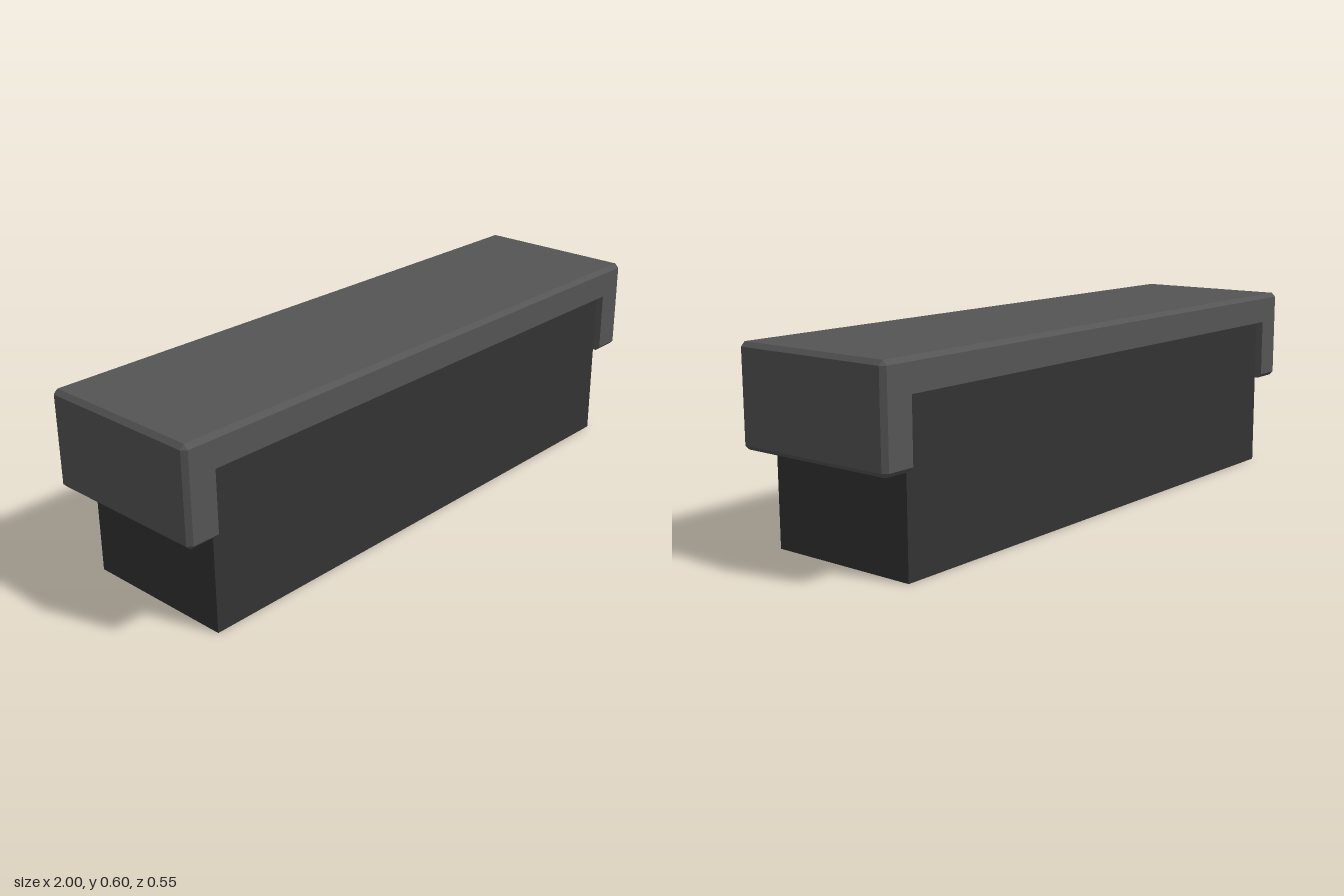
import * as THREE from 'three';

const W = 1, TOP = 0.602, BOTTOM = 0.302, DEPTH = 0.275; // cap extents
const INNER_X = 0.9, INNER_Y = 0.505; // recess the body sits in
const BEVEL = 0.0135;

// Upside-down U outline, counter-clockwise; corner cut c, inset i
function capOutline(c, i) {
  const x = W - i, t = TOP - i, b = BOTTOM + i;
  const half = [[INNER_X, b], [x - c, b], [x, b + c], [x, t - c], [x - c, t]];
  const mirrored = half.map(([px, py]) => [-px, py]).reverse();
  return [...half, ...mirrored, [-INNER_X, INNER_Y], [INNER_X, INNER_Y]];
}

// Cap with chamfered outer edges, lofted through four outlines from back to front
function capGeometry() {
  const full = capOutline(BEVEL, 0), inset = capOutline(0, BEVEL);
  const loops = [
    [inset, -DEPTH], [full, -DEPTH + BEVEL], [full, DEPTH - BEVEL], [inset, DEPTH],
  ].map(([pts, z]) => pts.map(([x, y]) => new THREE.Vector3(x, y, z)));

  const out = [];
  const tri = (a, b, c) => {
    const area = b.clone().sub(a).cross(c.clone().sub(a)).length();
    if (area > 1e-9) for (const p of [a, b, c]) out.push(p.x, p.y, p.z);
  };

  // Walls and chamfers
  for (let k = 0; k < 3; k++) {
    const back = loops[k], front = loops[k + 1], n = back.length;
    for (let i = 0; i < n; i++) {
      const j = (i + 1) % n;
      tri(back[i], back[j], front[j]);
      tri(back[i], front[j], front[i]);
    }
  }

  // Front and back faces
  const unique = (loop) => loop.filter((p, i) => i === 0 || !p.equals(loop[i - 1]));
  const back = unique(loops[0]), front = unique(loops[3]);
  const faces = THREE.ShapeUtils.triangulateShape(front.map((p) => new THREE.Vector2(p.x, p.y)), []);
  for (const [a, b, c] of faces) {
    tri(front[a], front[b], front[c]);
    tri(back[a], back[c], back[b]);
  }

  const geometry = new THREE.BufferGeometry();
  geometry.setAttribute('position', new THREE.Float32BufferAttribute(out, 3));
  geometry.computeVertexNormals();
  return geometry;
}

export function createModel() {
  const group = new THREE.Group();

  // Solid block underneath
  const body = new THREE.Mesh(
    new THREE.BoxGeometry(INNER_X * 2, INNER_Y, 0.5),
    new THREE.MeshStandardMaterial({ color: 0x333333 }),
  );
  body.name = 'body';
  body.position.y = INNER_Y / 2;

  // Bevelled cap wrapping over the top and both ends
  const cap = new THREE.Mesh(
    capGeometry(),
    new THREE.MeshStandardMaterial({ color: 0x555555, flatShading: true }),
  );
  cap.name = 'cap';

  group.add(body, cap);
  return group;
}
